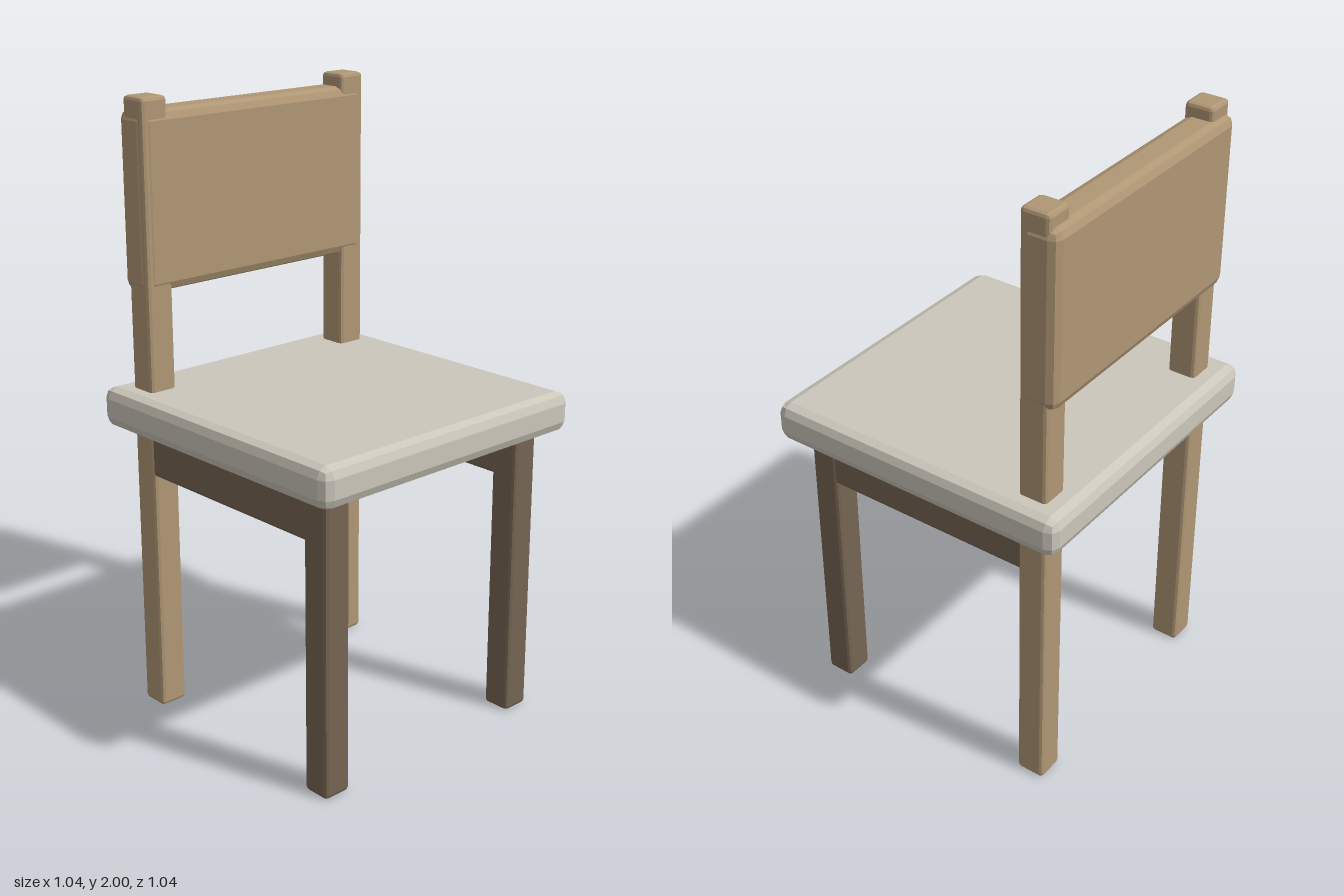
import * as THREE from 'three';
import { RoundedBoxGeometry } from 'three/addons/geometries/RoundedBoxGeometry.js';

const material = (color) => new THREE.MeshStandardMaterial({ color, flatShading: true });

export function createModel() {
  const group = new THREE.Group();
  const lightWood = material(0xb09775);
  const darkWood = material(0x766552);
  const cushion = material(0xccc7bb);

  // Bevelled box given by its min and max corners
  function block(name, mat, min, max, bevel) {
    const size = max.map((v, i) => v - min[i]);
    const mesh = new THREE.Mesh(new RoundedBoxGeometry(...size, 1, bevel), mat);
    mesh.position.set(...max.map((v, i) => (v + min[i]) / 2));
    mesh.name = name;
    group.add(mesh);
    return mesh;
  }

  block('seat', cushion, [-0.52, 0.96, -0.52], [0.52, 1.09, 0.52], 0.035);
  block('backrest', lightWood, [-0.453, 1.402, -0.47], [0.453, 1.958, -0.348], 0.03);

  // Legs and side rails, mirrored left and right
  for (const [side, s] of [['left', 1], ['right', -1]]) {
    const x0 = s > 0 ? 0.355 : -0.45;
    const x1 = x0 + 0.095;
    block(side + 'FrontLeg', darkWood, [x0, 0, 0.35], [x1, 0.962, 0.445], 0.012);
    block(side + 'BackPost', lightWood, [x0, 0, -0.445], [x1, 2, -0.35], 0.012);
    block(side + 'SeatRail', darkWood, [x0 + 0.002, 0.812, -0.365], [x1 - 0.002, 0.965, 0.365], 0.012);
  }
  return group;
}
